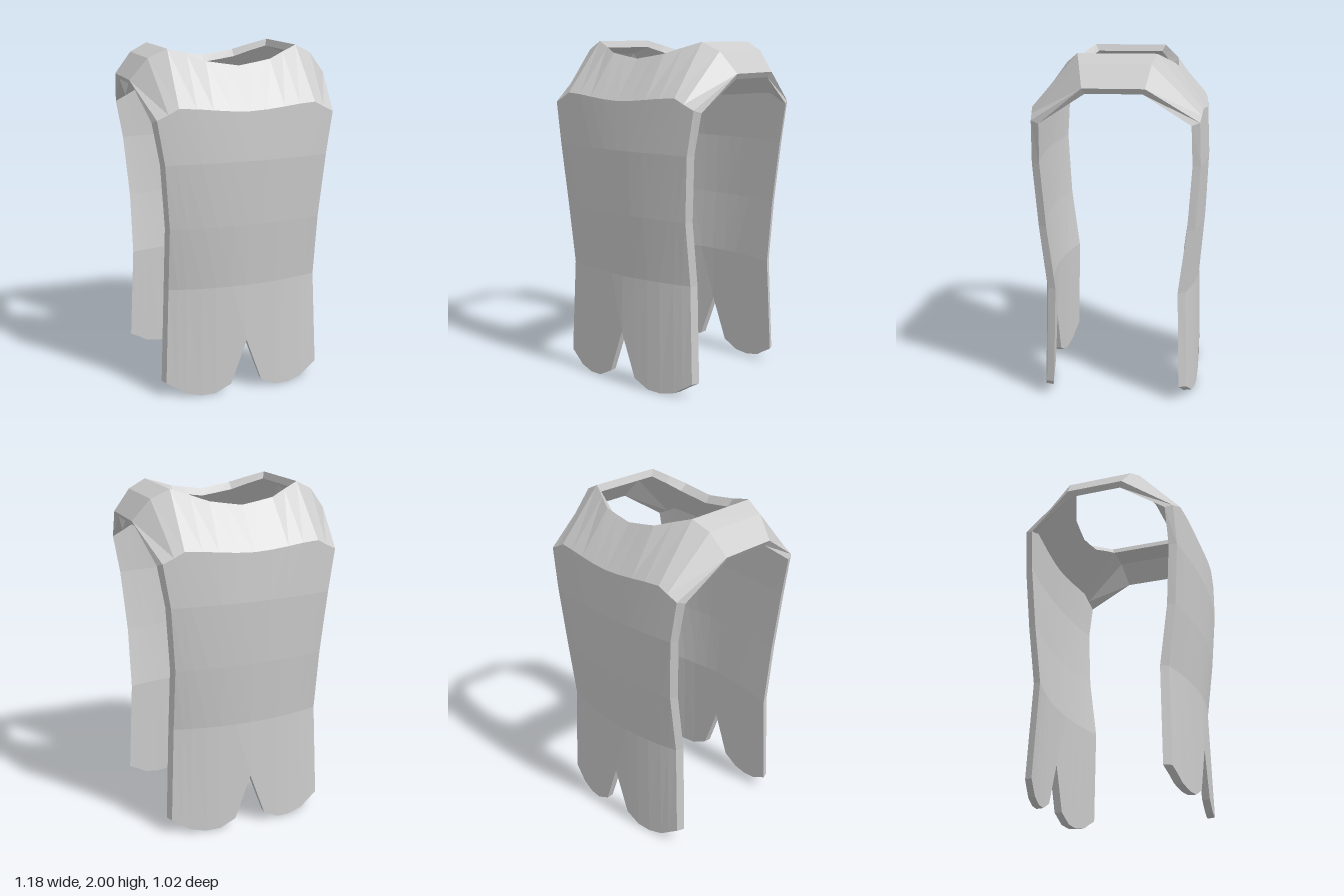
import * as THREE from 'three';

// Half outlines, listed from the centre (x = 0) out to the side edge
const NECK_OUT = [[0, 1.905, 0.32], [0.1, 1.92, 0.315], [0.19, 1.935, 0.31], [0.285, 1.968, 0.265], [0.385, 2, 0.22], [0.49, 1.95, 0.197], [0.59, 1.83, 0.17]];
const NECK_IN = [[0, 1.865, 0.285], [0.1, 1.88, 0.278], [0.19, 1.895, 0.27], [0.28, 1.93, 0.235], [0.37, 1.96, 0.2], [0.47, 1.92, 0.18], [0.57, 1.8, 0.155]];
const ACROSS = [0, 0.2, 0.4, 0.58, 0.77, 0.88, 1];
const CHEST_Y = [1.675, 1.68, 1.69, 1.7, 1.705, 1.675, 1.645];
const HEM_Y = [0.32, 0.055, 0.005, 0, 0.02, 0.055, 0.09];

// Panel rows below the neck: half width, centre z, edge z, height per column
const ROWS = [
  { w: 0.517, zc: 0.497, ze: 0.462, y: (k) => CHEST_Y[k] },
  { w: 0.478, zc: 0.51, ze: 0.47, y: () => 1.4 },
  { w: 0.45, zc: 0.495, ze: 0.445, y: () => 1.03 },
  { w: 0.45, zc: 0.465, ze: 0.398, y: () => 0.66 },
  { w: 0.475, zc: 0.475, ze: 0.412, y: (k) => HEM_Y[k] },
];
const LAST = ROWS.length;
const EDGE = 6;
const NECK_CORNER = 4;
const THICKNESS = 0.045;

// Point of the cloth: column i (-6..6), row r (0 = neck), outer or inner face
function point(i, r, inner) {
  const k = Math.abs(i), s = Math.sign(i);
  if (r === 0) {
    const [x, y, z] = (inner ? NECK_IN : NECK_OUT)[k];
    return [s * x, y, z];
  }
  const row = ROWS[r - 1], u = ACROSS[k];
  const z = row.zc - (row.zc - row.ze) * u * u;
  const y = row.y(k) - (inner && r === 1 ? 0.015 : 0);
  return [s * u * row.w * (inner ? 1.035 : 1), y, z - (inner ? THICKNESS : 0)];
}

// Collects four-cornered faces (anticlockwise) into a faceted geometry
function faceBuilder() {
  const pos = [];
  return {
    quad(a, b, c, d, flip = false) {
      const order = flip ? [a, b, d, b, c, d] : [a, b, c, a, c, d];
      order.forEach((p) => pos.push(...p));
    },
    build() {
      const g = new THREE.BufferGeometry();
      g.setAttribute('position', new THREE.Float32BufferAttribute(pos, 3));
      g.computeVertexNormals();
      return g;
    },
  };
}

function panelGeometry() {
  const f = faceBuilder();
  const out = (i, r) => point(i, r, false);
  const inn = (i, r) => point(i, r, true);
  for (let i = -EDGE; i < EDGE; i++) {
    // outer and inner cloth
    for (let r = 0; r < LAST; r++) {
      f.quad(out(i, r + 1), out(i + 1, r + 1), out(i + 1, r), out(i, r), i < 0);
      f.quad(inn(i, r), inn(i + 1, r), inn(i + 1, r + 1), inn(i, r + 1), i >= 0);
    }
    // notched hem
    f.quad(out(i, LAST), inn(i, LAST), inn(i + 1, LAST), out(i + 1, LAST));
    // neckline rim
    if (i >= -NECK_CORNER && i < NECK_CORNER) {
      f.quad(out(i, 0), out(i + 1, 0), inn(i + 1, 0), inn(i, 0));
    }
  }
  // side rims
  for (let r = 0; r < LAST; r++) {
    f.quad(out(EDGE, r), out(EDGE, r + 1), inn(EDGE, r + 1), inn(EDGE, r));
    f.quad(inn(-EDGE, r), inn(-EDGE, r + 1), out(-EDGE, r + 1), out(-EDGE, r));
  }
  return f.build();
}

function shoulderGeometry() {
  const f = faceBuilder();
  const front = (i, inner) => point(i, 0, inner);
  const back = (i, inner) => {
    const [x, y, z] = point(i, 0, inner);
    return [x, y, -z];
  };
  for (let i = NECK_CORNER; i < EDGE; i++) {
    f.quad(front(i, false), front(i + 1, false), back(i + 1, false), back(i, false));
    f.quad(back(i, true), back(i + 1, true), front(i + 1, true), front(i, true));
  }
  // rims at the neck and at the arm opening
  const n = NECK_CORNER;
  f.quad(front(n, false), back(n, false), back(n, true), front(n, true));
  f.quad(front(EDGE, false), front(EDGE, true), back(EDGE, true), back(EDGE, false));
  return f.build();
}

export function createModel() {
  const cloth = new THREE.MeshStandardMaterial({ color: 0xcccccc, flatShading: true });
  cloth.name = 'greyCloth';
  const group = new THREE.Group();
  group.name = 'tabard';

  const add = (name, geometry, turned) => {
    const mesh = new THREE.Mesh(geometry, cloth);
    mesh.name = name;
    if (turned) mesh.rotation.y = Math.PI;
    group.add(mesh);
  };
  const panel = panelGeometry();
  const shoulder = shoulderGeometry();
  add('frontPanel', panel, false);
  add('backPanel', panel, true);
  add('leftShoulder', shoulder, false);
  add('rightShoulder', shoulder, true);
  return group;
}
